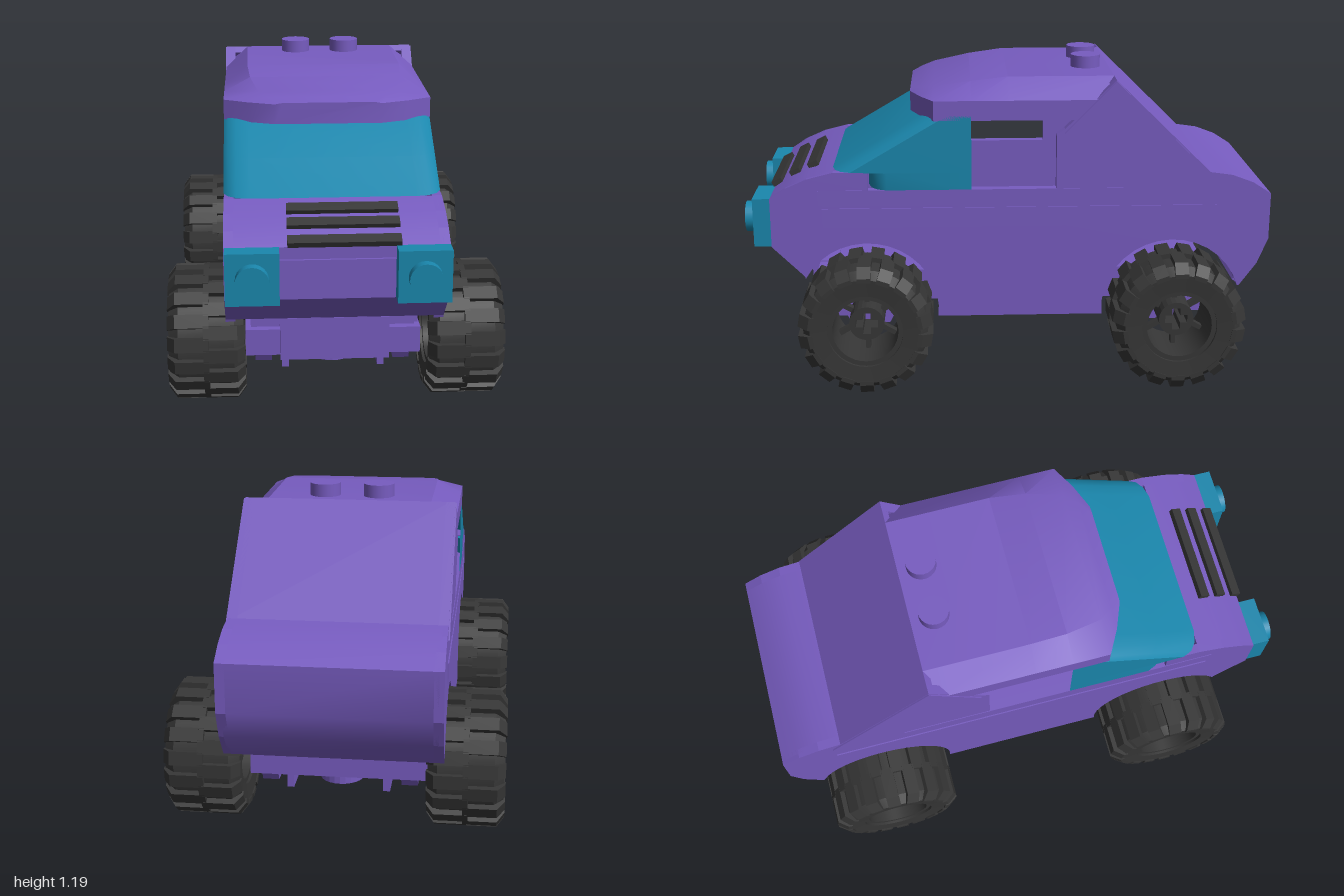
import * as THREE from 'three';
import { mergeGeometries, toCreasedNormals } from 'three/addons/utils/BufferGeometryUtils.js';

const mat = (color) => new THREE.MeshStandardMaterial({ color, side: THREE.DoubleSide });
const PURPLE = mat(0x775cc0), TEAL = mat(0x1a87ad), DARK = mat(0x363636);

function add(parent, name, geo, material, x = 0, y = 0, z = 0) {
  const mesh = new THREE.Mesh(geo, material);
  mesh.name = name;
  mesh.position.set(x, y, z);
  parent.add(mesh);
  return mesh;
}
const box = (w, h, d) => new THREE.BoxGeometry(w, h, d);
const shapeOf = (pts) => new THREE.Shape(pts.map(([a, b]) => new THREE.Vector2(a, b)));

// Extrudes a (z, y) outline along x, centred on x = 0
function extrudeX(pts, width) {
  const g = new THREE.ExtrudeGeometry(shapeOf(pts), { depth: width, bevelEnabled: false });
  return g.translate(0, 0, -width / 2).rotateY(-Math.PI / 2);
}

// Thin panel following a (z, y) polyline, thickened to its right-hand side
function panel(pts, t, width) {
  const inner = pts.map((p, i) => {
    const a = pts[Math.max(i - 1, 0)], b = pts[Math.min(i + 1, pts.length - 1)];
    const dz = b[0] - a[0], dy = b[1] - a[1], l = Math.hypot(dz, dy);
    return [p[0] - (dy / l) * t, p[1] + (dz / l) * t];
  });
  return toCreasedNormals(extrudeX([...pts, ...inner.reverse()], width), 0.45);
}

// Half circle cut above a wheel, listed from startZ side to the other
function arch(cz, r, fromY, toY, dir) {
  const a0 = Math.asin((fromY - 0.25) / r), a1 = Math.PI - Math.asin((toY - 0.25) / r);
  return Array.from({ length: 17 }, (_, i) => {
    const a = a0 + ((a1 - a0) * i) / 16;
    return [cz + dir * r * Math.cos(a), 0.25 + r * Math.sin(a)];
  });
}

// Closed loft through convex sections (counter-clockwise seen from +z), front to back
function loft(sections) {
  const n = sections[0].length, idx = [];
  for (let i = 0; i < sections.length - 1; i++)
    for (let j = 0; j < n; j++) {
      const k = (j + 1) % n, a = i * n + j, b = i * n + k, c = a + n, d = b + n;
      idx.push(a, d, b, a, c, d);
    }
  const last = (sections.length - 1) * n;
  for (let j = 1; j < n - 1; j++) idx.push(0, j, j + 1, last, last + j + 1, last + j);
  const g = new THREE.BufferGeometry();
  g.setAttribute('position', new THREE.Float32BufferAttribute(sections.flat(2), 3));
  g.setIndex(idx);
  return toCreasedNormals(g, 0.5);
}

function roofGeometry() {
  // [z, half width, top half width, edge height, top height]
  const rows = [[0.37, 0.2, 0.17, 1.07, 1.075], [0.33, 0.3, 0.22, 1.07, 1.088], [0.28, 0.39, 0.26, 1.07, 1.1],
    [0.14, 0.39, 0.29, 1.07, 1.125], [0, 0.39, 0.3, 1.07, 1.143], [-0.4, 0.39, 0.3, 1.07, 1.143]];
  return loft(rows.map(([z, w, t, e, y]) =>
    [[-w, 0.995, z], [w, 0.995, z], [w, e, z], [t, y, z], [-t, y, z], [-w, e, z]]));
}

// Wraparound glass: rows of height, each a U-shaped path with rounded corners
function windshieldGeometry() {
  const rows = [[0.73, 0.53], [0.795, 0.53], [0.8, 0.665], [0.9, 0.495], [1.0, 0.325], [1.015, 0.29]];
  const pos = [], idx = [];
  let n;
  for (const [y, zf] of rows) {
    const half = [[0.39, 0.14], [0.39, zf - 0.07], [0.375, zf - 0.035], [0.345, zf - 0.012], [0.3, zf]];
    const path = [...half, ...half.map(([x, z]) => [-x, z]).reverse()];
    n = path.length;
    path.forEach(([x, z]) => pos.push(x, y, z));
  }
  for (let i = 0; i < rows.length - 1; i++)
    for (let j = 0; j < n - 1; j++) {
      const a = i * n + j;
      idx.push(a, a + n + 1, a + 1, a, a + n, a + n + 1);
    }
  for (let i = 0; i < idx.length; i += 3) [idx[i + 1], idx[i + 2]] = [idx[i + 2], idx[i + 1]];
  for (let i = 0; i < idx.length; i += 3) [idx[i + 1], idx[i + 2]] = [idx[i + 2], idx[i + 1]];
  const g = new THREE.BufferGeometry();
  g.setAttribute('position', new THREE.Float32BufferAttribute(pos, 3));
  g.setIndex(idx.reverse());
  return toCreasedNormals(g, 0.6);
}

const latheX = (pts, seg) => toCreasedNormals(
  new THREE.LatheGeometry(pts.map(([r, h]) => new THREE.Vector2(r, h)), seg).rotateZ(-Math.PI / 2), 0.5);

// Wheel along x, outer face towards +x
function createWheel() {
  const wheel = new THREE.Group();
  add(wheel, 'tyre', latheX([[0.14, -0.13], [0.205, -0.135], [0.232, -0.1], [0.232, 0.1],
    [0.205, 0.135], [0.14, 0.13], [0.14, -0.13]], 36), DARK);
  add(wheel, 'rim', latheX([[0.122, -0.12], [0.145, -0.12], [0.145, 0.12], [0.122, 0.12], [0.122, -0.12]], 36), DARK);
  const lugShape = shapeOf([[-0.01, 0.215], [0.14, 0.195], [0.14, 0.212], [0.112, 0.25], [-0.01, 0.25]]);
  const lugs = [];
  for (const row of [0, 1])
    for (let i = 0; i < 18; i++) {
      const g = new THREE.ExtrudeGeometry(lugShape, { depth: 0.05, bevelEnabled: false }).translate(0, 0, -0.025);
      if (row) g.rotateY(Math.PI);
      lugs.push(g.rotateX(((i + row / 2) * Math.PI * 2) / 18));
    }
  add(wheel, 'treadLugs', mergeGeometries(lugs), DARK);
  // Hub with a cross-shaped axle hole
  const hub = new THREE.Shape().absarc(0, 0, 0.066, 0, Math.PI * 2);
  const a = 0.042, b = 0.015;
  hub.holes.push(shapeOf([[a, b], [b, b], [b, a], [-b, a], [-b, b], [-a, b], [-a, -b], [-b, -b],
    [-b, -a], [b, -a], [b, -b], [a, -b]]));
  const hubGeo = new THREE.ExtrudeGeometry(hub, { depth: 0.15, bevelEnabled: false, curveSegments: 12 });
  add(wheel, 'hub', hubGeo.translate(0, 0, -0.1).rotateY(Math.PI / 2), DARK);
  for (let i = 0; i < 6; i++)
    add(wheel, 'spoke', box(0.03, 0.08, 0.018).translate(-0.02, 0.095, 0).rotateX((i * Math.PI) / 3), DARK);
  return wheel;
}

export function createModel() {
  const model = new THREE.Group();
  model.name = 'offRoadCar';
  const body = new THREE.Group();
  body.name = 'body';
  body.position.x = -0.01;
  model.add(body);

  // Outer skin lines, in (z, y)
  const nose = [[0.78, 0.39], [0.9, 0.51], [0.9, 0.7], [0.84, 0.74], [0.76, 0.775], [0.66, 0.8]];
  const tail = [[-0.4, 1.143], [-0.765, 0.787], [-0.85, 0.775], [-0.93, 0.745], [-1, 0.7], [-1, 0.52],
    [-0.96, 0.42], [-0.895, 0.33]];

  // Side walls with window gap, rear pillar and wheel arches
  const side = [...nose, [0.53, 0.8], [0.53, 0.73], [-0.18, 0.73], [-0.18, 0.94], [-0.21, 0.96], ...tail,
    ...arch(-0.63, 0.27, 0.33, 0.22, -1), ...arch(0.54, 0.27, 0.22, 0.38, -1)];
  for (const s of [-1, 1]) {
    add(body, 'sideWall', extrudeX(side, 0.035), PURPLE, s * 0.37);
    add(body, 'sideStrip', box(0.012, 0.075, 1.5), PURPLE, s * 0.386, 0.622, -0.045);
    add(body, 'doorPanel', box(0.012, 0.06, 1.24), PURPLE, s * 0.384, 0.7, 0.1);
    // Rear quarter triangle, slightly proud of the wall
    add(body, 'quarterPanel', extrudeX([[-0.4, 1.14], [-0.8, 0.745], [-0.34, 0.82], [-0.21, 0.945]], 0.014),
      PURPLE, s * 0.386);
    add(body, 'headlightBlock', box(0.185, 0.187, 0.07), TEAL, s * 0.293 + 0.002, 0.607, 0.93);
    add(body, 'headlightLens', new THREE.CylinderGeometry(0.058, 0.058, 0.06, 24).rotateX(Math.PI / 2),
      TEAL, s * 0.293 + 0.002, 0.607, 0.97);
    add(body, 'windshieldStud', new THREE.CylinderGeometry(0.05, 0.05, 0.04, 20), TEAL, s * 0.31, 1.017, 0.25);
    add(body, 'roofStud', new THREE.CylinderGeometry(0.057, 0.057, 0.07, 24), PURPLE, s * 0.1, 1.155, -0.31);
  }
  add(body, 'noseAndHood', panel(nose, 0.03, 0.74), PURPLE);
  add(body, 'rearSlopeAndTrunk', panel(tail, 0.03, 0.74), PURPLE);
  add(body, 'roof', roofGeometry(), PURPLE);
  add(body, 'windshield', windshieldGeometry(), TEAL);
  add(body, 'frontStrip', box(0.4, 0.075, 0.02), PURPLE, 0, 0.618, 0.9);

  // Grille bars stepping down the hood
  for (const [y, z] of [[0.787, 0.75], [0.757, 0.82], [0.717, 0.89]]) {
    const bar = add(body, 'grilleBar', box(0.39, 0.022, 0.04), DARK, 0.025, y, z);
    bar.rotation.x = 0.45;
  }

  // Chassis tray and ribs
  add(body, 'floor', box(0.6, 0.03, 1.52), PURPLE, 0, 0.365, -0.02);
  add(body, 'floorMiddle', box(0.74, 0.03, 0.62), PURPLE, 0, 0.365, -0.045);
  for (const s of [-1, 1]) add(body, 'longRib', box(0.025, 0.14, 1.2), PURPLE, s * 0.19, 0.29, -0.045);
  for (const z of [0.24, -0.04, -0.33]) add(body, 'crossRib', box(0.72, 0.13, 0.025), PURPLE, 0, 0.29, z);
  add(body, 'frontBlock', box(0.39, 0.16, 0.1), PURPLE, 0, 0.305, 0.72);

  // Axles and wheels
  for (const z of [0.54, -0.63]) {
    add(body, 'axleMount', box(0.64, 0.1, 0.26), PURPLE, 0, 0.25, z);
    add(body, 'axleSupport', box(0.6, 0.07, 0.2), PURPLE, 0, 0.33, z);
    const ring = new THREE.Shape().absarc(0, 0, 0.08, 0, Math.PI * 2);
    ring.holes.push(new THREE.Path().absarc(0, 0, 0.05, 0, Math.PI * 2));
    add(body, 'mountRing', new THREE.ExtrudeGeometry(ring, { depth: 0.06, bevelEnabled: false })
      .rotateX(-Math.PI / 2), PURPLE, 0, 0.15, z);
    for (const s of [-1, 1]) {
      add(body, 'mountBar', box(0.025, 0.06, 0.24), PURPLE, s * 0.175, 0.178, z);
      add(body, 'axleBracket', extrudeX([[-0.1, 0.2], [-0.075, 0.155], [0.075, 0.155], [0.1, 0.2]], 0.06),
        PURPLE, s * 0.255, 0, z);
      const wheel = createWheel();
      wheel.name = (z > 0 ? 'front' : 'rear') + (s > 0 ? 'Left' : 'Right') + 'Wheel';
      wheel.position.set(s * 0.47, 0.25, z);
      if (s < 0) wheel.rotation.y = Math.PI;
      model.add(wheel);
    }
  }
  return model;
}
